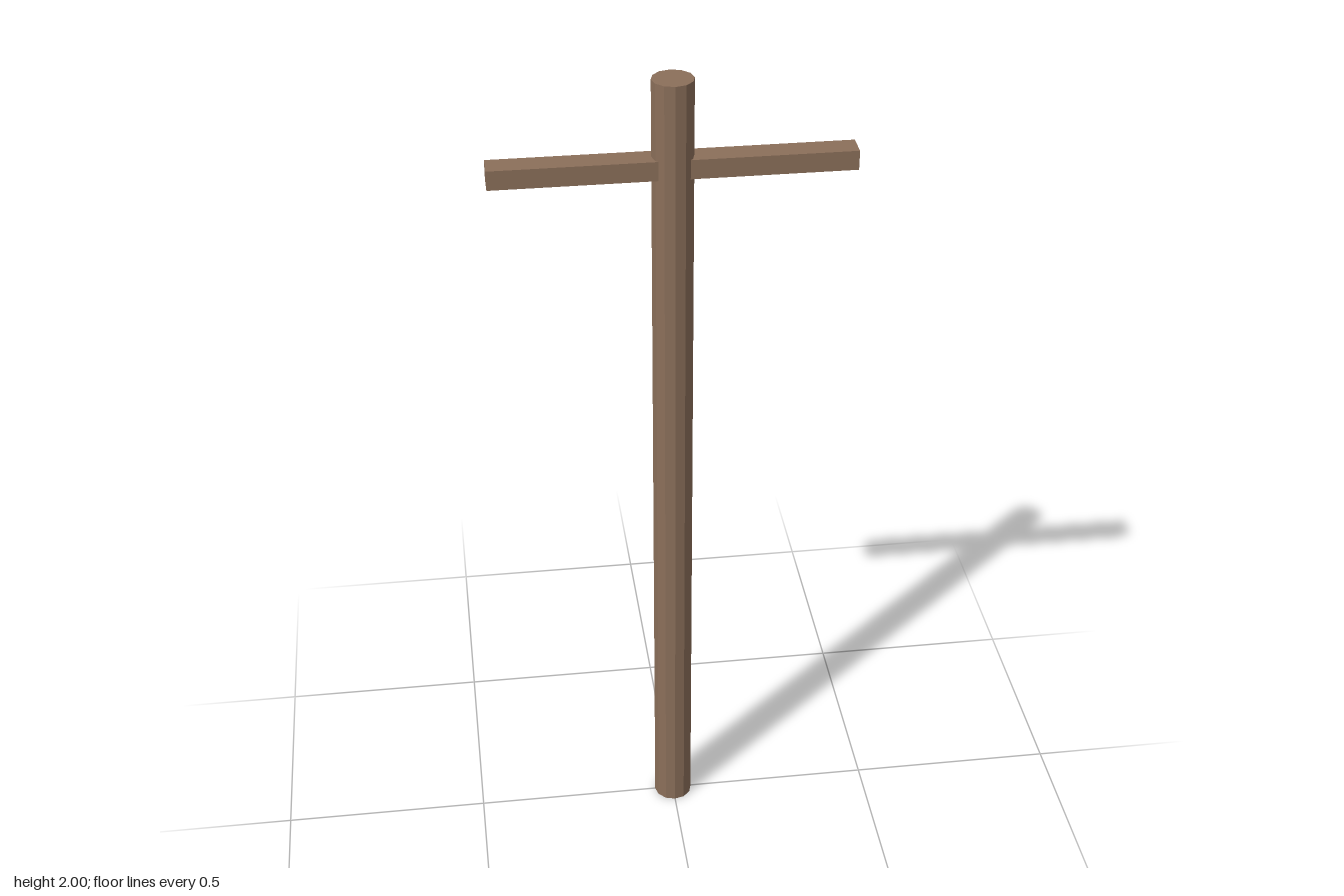
import * as THREE from 'three';

export function createModel() {
  const group = new THREE.Group();
  group.name = 'utilityPole';

  const wood = new THREE.MeshStandardMaterial({ color: 0x8b6f5a, flatShading: true });
  wood.name = 'weathered wood';

  const addPart = (name, geometry, y) => {
    const mesh = new THREE.Mesh(geometry, wood);
    mesh.name = name;
    mesh.position.y = y;
    group.add(mesh);
  };

  // Twelve-sided upright post
  addPart('pole', new THREE.CylinderGeometry(0.047, 0.047, 2, 12), 1);
  // Square-cut beam running through the post near its top
  addPart('crossarm', new THREE.BoxGeometry(0.81, 0.045, 0.058), 1.8);

  return group;
}
